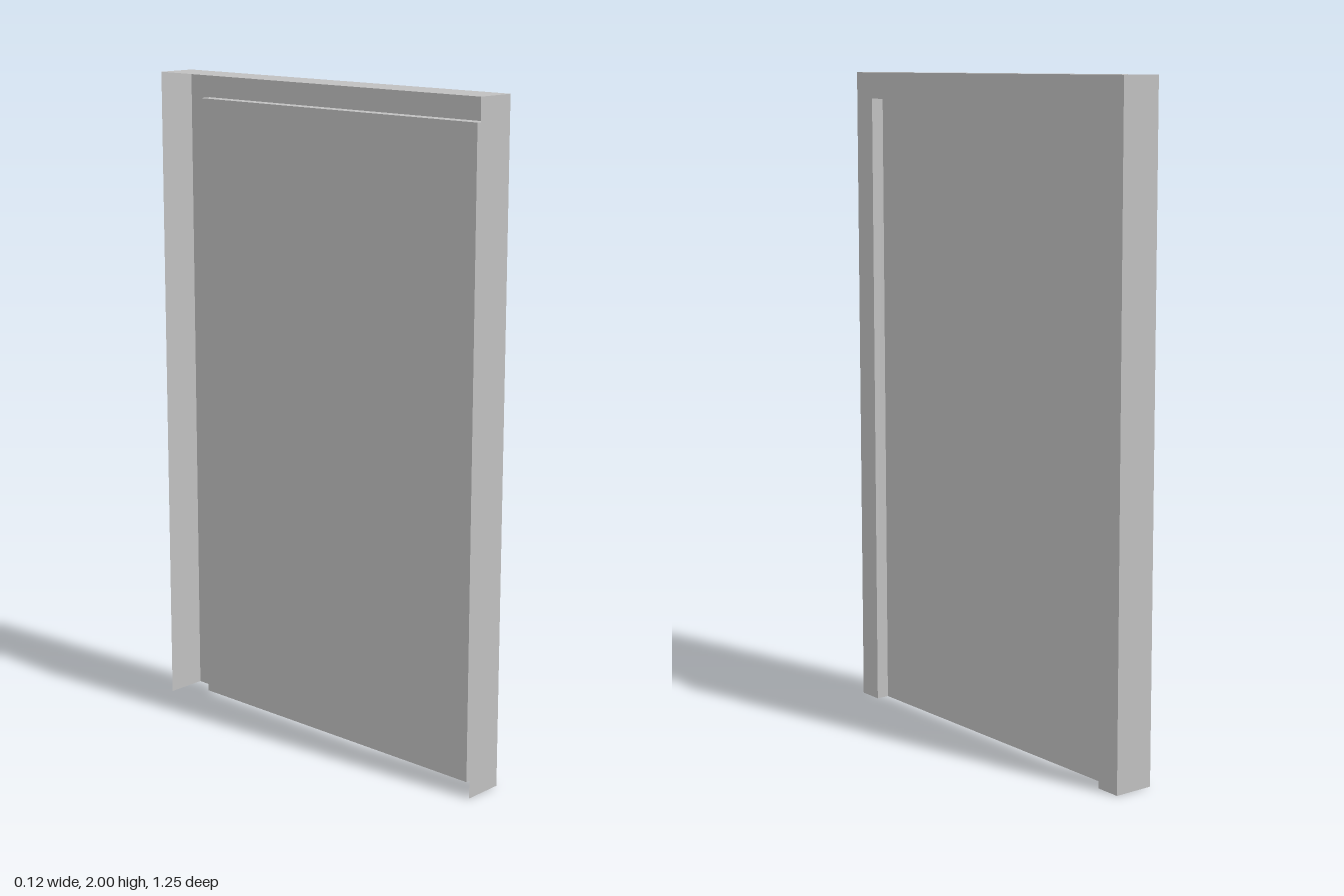
import * as THREE from 'three';

const H = 2, HALF_W = 0.625, HALF_D = 0.0625; // overall shell
const FRAME = 0.08, REVEAL = 0.04;            // border width, panel recess

export function createModel() {
  const group = new THREE.Group();
  const grey = new THREE.MeshStandardMaterial({ color: 0xc0c0c0, side: THREE.DoubleSide });
  grey.name = 'lightGrey';

  const add = (name, geometry, x, y, z) => {
    const mesh = new THREE.Mesh(geometry, grey);
    mesh.name = name;
    mesh.position.set(x, y, z);
    group.add(mesh);
  };

  const innerW = HALF_W - FRAME, innerH = H - FRAME;

  // Face of the frame: an upside-down U facing +x
  const u = new THREE.Shape([
    [-HALF_W, 0], [-innerW, 0], [-innerW, innerH], [innerW, innerH],
    [innerW, 0], [HALF_W, 0], [HALF_W, H], [-HALF_W, H],
  ].map(([a, b]) => new THREE.Vector2(a, b)));
  add('frameFace', new THREE.ShapeGeometry(u).rotateY(Math.PI / 2), HALF_D, 0, 0);

  // Recessed door panel
  const panelX = HALF_D - REVEAL;
  add('doorPanel', new THREE.PlaneGeometry(innerW * 2, innerH).rotateY(Math.PI / 2), panelX, innerH / 2, 0);

  // Outer walls and the reveals between frame face and panel
  const revealX = HALF_D - REVEAL / 2;
  for (const [side, s] of [['front', 1], ['back', -1]]) {
    const wall = new THREE.PlaneGeometry(HALF_D * 2, H);
    const reveal = new THREE.PlaneGeometry(REVEAL, innerH);
    (s > 0 ? reveal : wall).rotateY(Math.PI);
    add(side + 'OuterWall', wall, 0, H / 2, s * HALF_W);
    add(side + 'Reveal', reveal, revealX, innerH / 2, s * innerW);
  }
  add('topWall', new THREE.PlaneGeometry(HALF_D * 2, HALF_W * 2).rotateX(-Math.PI / 2), 0, H, 0);
  add('topReveal', new THREE.PlaneGeometry(REVEAL, innerW * 2).rotateX(Math.PI / 2), revealX, innerH, 0);

  return group;
}
